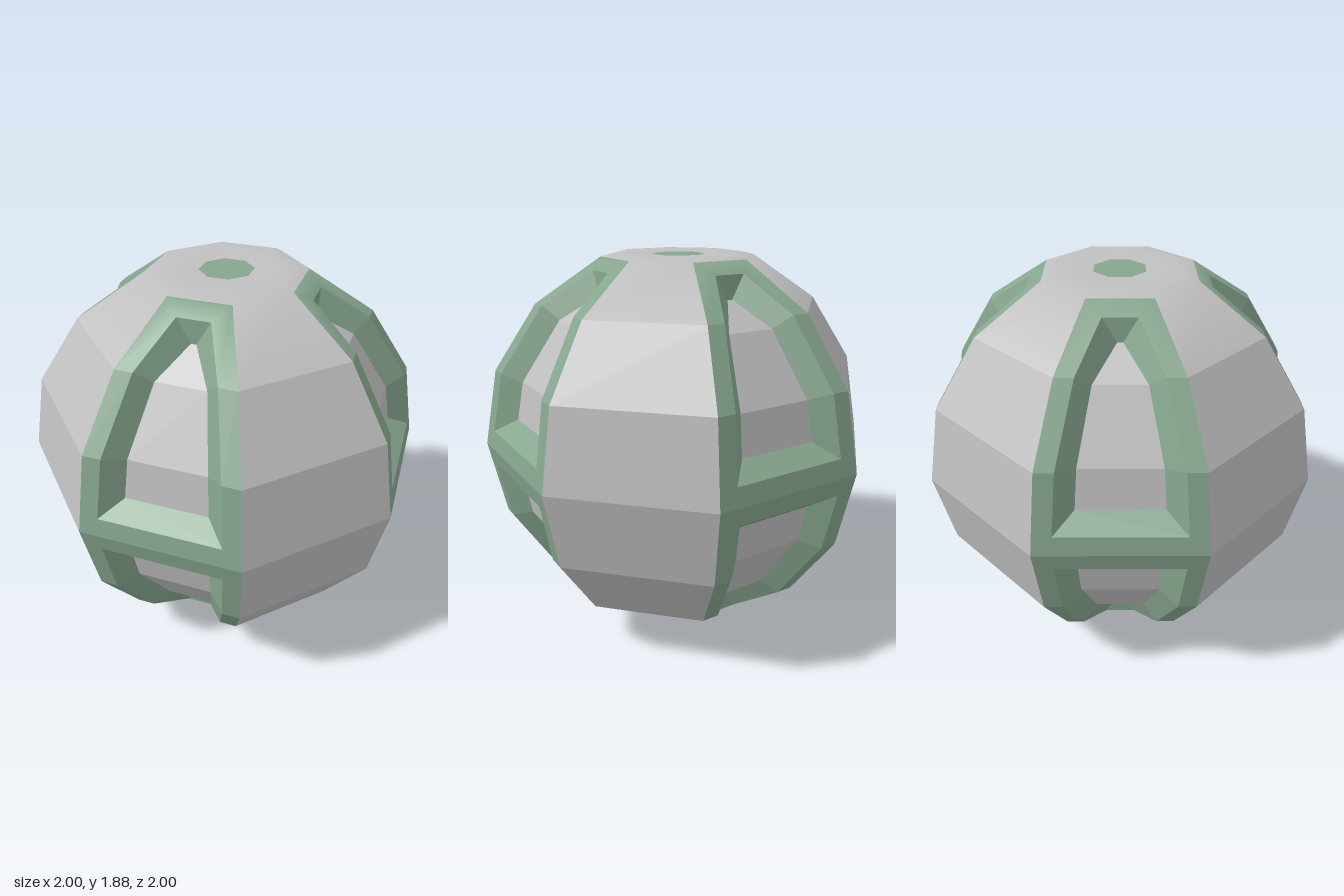
import * as THREE from 'three';

const CENTER = 0.94, STEP = Math.PI / 4;
const RING = [[1, 0], [0.924, 0.383], [0.707, 0.707], [0.383, 0.924]]; // radius, height

// Radius of the faceted ball at a given height
function radiusAt(y) {
  for (let i = 0; i < 3; i++) {
    const [r0, y0] = RING[i], [r1, y1] = RING[i + 1];
    if (y <= y1) return r0 + (r1 - r0) * (y - y0) / (y1 - y0);
  }
  return RING[3][0];
}

// Collects flat quads; corners touching the caps get softened normals
class Quads {
  constructor() { this.pos = []; this.nor = []; }
  add(corners, flip) {
    const q = flip ? [...corners].reverse() : corners;
    const n = new THREE.Vector3().subVectors(q[2], q[0])
      .cross(new THREE.Vector3().subVectors(q[3], q[1])).normalize();
    for (const i of [0, 1, 2, 0, 2, 3]) {
      const p = q[i];
      this.pos.push(p.x, p.y, p.z);
      const soft = Math.abs(p.y) > 0.9
        ? new THREE.Vector3(p.x * 0.65, Math.sign(p.y) * 0.968, p.z * 0.65).normalize() : n;
      this.nor.push(soft.x, soft.y, soft.z);
    }
  }
  mesh(material, name) {
    const g = new THREE.BufferGeometry();
    g.setAttribute('position', new THREE.Float32BufferAttribute(this.pos, 3));
    g.setAttribute('normal', new THREE.Float32BufferAttribute(this.nor, 3));
    const m = new THREE.Mesh(g, material);
    m.name = name;
    return m;
  }
}

// Point on one 45 degree wedge: t runs across it, y up, s scales towards the centre
function wedgePoint(start, t, y, s, sign) {
  const r = radiusAt(y / s) * s;
  const a = new THREE.Vector3(Math.sin(start) * r, y * sign, Math.cos(start) * r);
  const b = new THREE.Vector3(Math.sin(start + STEP) * r, y * sign, Math.cos(start + STEP) * r);
  return a.lerp(b, t);
}

// Loop of eight points from rows of [inset, height]: up the left side, down the right
function loop(start, rows, s, sign) {
  const left = rows.map(([t, y]) => wedgePoint(start, t, y, s, sign));
  const right = rows.map(([t, y]) => wedgePoint(start, 1 - t, y, s, sign));
  return [...left, ...right.reverse()];
}

export function createModel() {
  const gray = new THREE.MeshStandardMaterial({ color: 0xc0c0c0 });
  gray.name = 'light gray';
  const green = new THREE.MeshStandardMaterial({ color: 0x86a68e });
  green.name = 'sage green';

  const model = new THREE.Group();
  model.name = 'panelledBall';
  const ball = new THREE.Group();
  ball.name = 'ball';
  ball.position.y = CENTER;
  model.add(ball);

  const DEPTH = 0.91;
  const outerRows = RING.map(([, y]) => [0, y]);
  const rimRows = [[0.115, 0.09], [0.122, 0.383], [0.157, 0.707], [0.28, 0.87]];
  const innerRows = [[0.21, 0.16], [0.215, 0.383 * DEPTH], [0.26, 0.707 * DEPTH], [0.465, 0.76]];

  for (let k = 0; k < 8; k++) {
    const panel = new Quads(), frame = new Quads(), recess = new Quads();
    for (const sign of [1, -1]) {
      const flip = sign < 0;
      const outer = loop(k * STEP, outerRows, 1, sign);
      if (k % 2) {
        // Solid panel
        for (let i = 0; i < 3; i++) panel.add([outer[i], outer[7 - i], outer[6 - i], outer[i + 1]], flip);
        continue;
      }
      // Frame face, then bevelled walls down to the recessed panel
      const rim = loop(k * STEP, rimRows, 1, sign);
      const inner = loop(k * STEP, innerRows, DEPTH, sign);
      for (let i = 0; i < 8; i++) {
        const j = (i + 1) % 8;
        frame.add([outer[i], rim[i], rim[j], outer[j]], flip);
        frame.add([rim[i], inner[i], inner[j], rim[j]], flip);
      }
      for (let i = 0; i < 3; i++) recess.add([inner[i], inner[7 - i], inner[6 - i], inner[i + 1]], flip);
    }
    if (k % 2) ball.add(panel.mesh(gray, 'solidPanel'));
    else ball.add(frame.mesh(green, 'windowFrame'), recess.mesh(gray, 'recessedPanel'));
  }

  // Softly rounded caps with a green centre disc
  const capProfile = [[0.383, 0.924], [0.32, 0.94], [0.22, 0.937], [0.13, 0.933]];
  const discProfile = [[0.13, 0.933], [0, 0.932]];
  const lathe = (pts) => new THREE.LatheGeometry(pts.map(([r, y]) => new THREE.Vector2(r, y)), 8);
  for (const side of ['top', 'bottom']) {
    const cap = new THREE.Group();
    cap.name = side + 'Cap';
    const ring = new THREE.Mesh(lathe(capProfile), gray);
    ring.name = 'capRing';
    const disc = new THREE.Mesh(lathe(discProfile), green);
    disc.name = 'capDisc';
    cap.add(ring, disc);
    if (side === 'bottom') cap.rotation.x = Math.PI;
    ball.add(cap);
  }
  return model;
}
